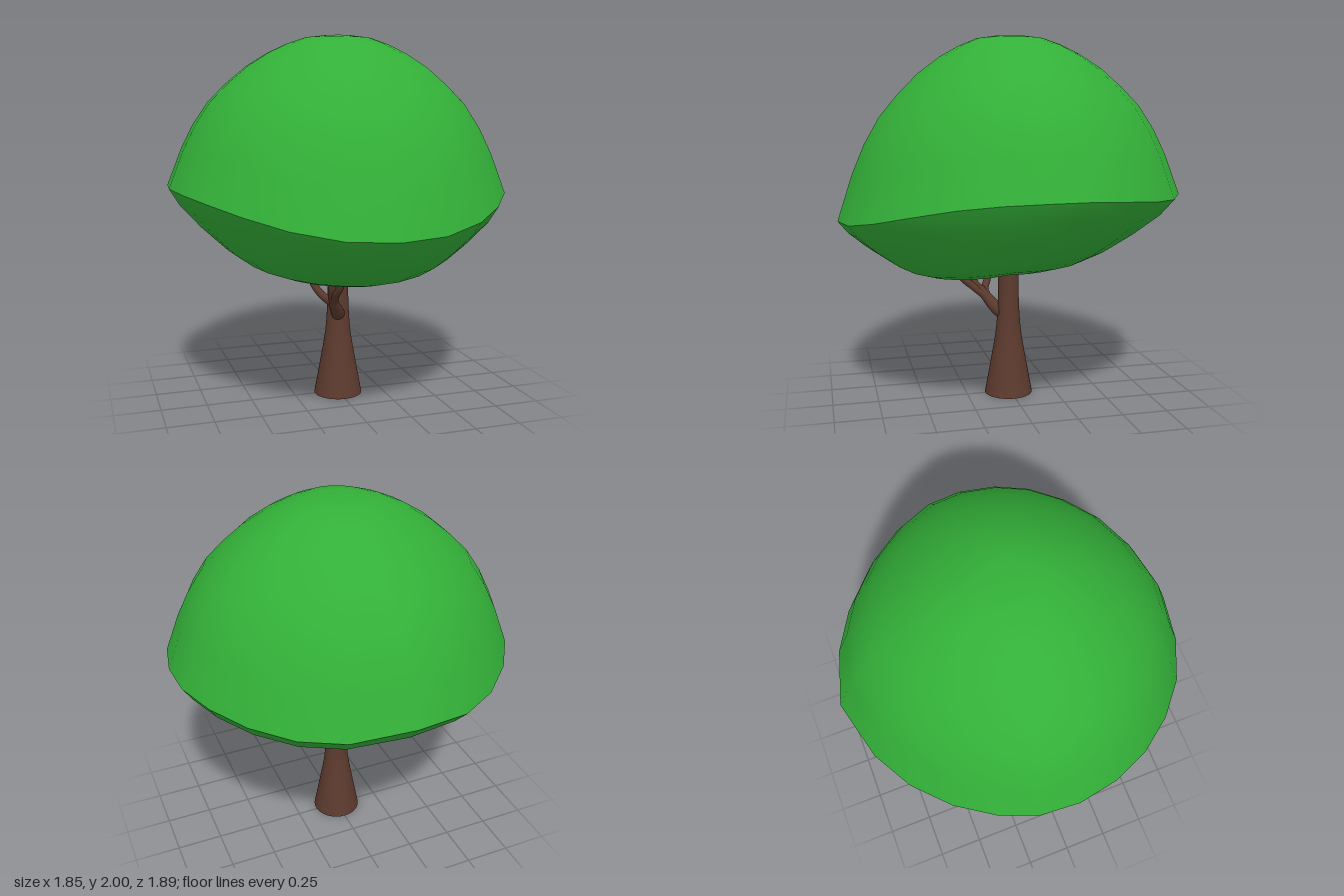
import * as THREE from 'three';

const leafMat = new THREE.MeshStandardMaterial({ color: 0x33b038 });
const barkMat = new THREE.MeshStandardMaterial({ color: 0x5c3a2e });

// Half of the canopy rim, back to front: [x, y, z]
const HALF_RIM = [
  [0, 1.2, -0.95], [0.31, 1.155, -0.87], [0.52, 1.15, -0.75], [0.7, 1.165, -0.58],
  [0.83, 1.185, -0.39], [0.91, 1.2, -0.19], [0.925, 1.2, 0.02], [0.885, 1.19, 0.24],
  [0.8, 1.165, 0.44], [0.66, 1.12, 0.63], [0.48, 1.07, 0.79], [0.25, 1.03, 0.9], [0, 1.02, 0.945],
];
// Profiles as [fraction inwards, fraction of the height change]
const DOME = [[0, 0], [0.085, 0.25], [0.155, 0.41], [0.243, 0.56], [0.347, 0.68], [0.465, 0.795],
  [0.59, 0.885], [0.7, 0.945], [0.8, 0.985], [0.9, 1], [1, 1]];
const UNDERSIDE = [[0, 0], [0.12, 0.22], [0.35, 0.5], [0.62, 0.78], [0.82, 0.93], [1, 1]];
const FLAT = [[0, 0], [0.5, 0.5], [1, 1]];

// Surface between two closed loops, following a profile
function loft(from, to, profile, flip) {
  const n = from.length, pos = [], index = [];
  for (const [s, h] of profile) {
    from.forEach((a, i) => {
      const b = to[i];
      pos.push(a[0] + (b[0] - a[0]) * s, a[1] + (b[1] - a[1]) * h, a[2] + (b[2] - a[2]) * s);
    });
  }
  for (let r = 0; r < profile.length - 1; r++) {
    for (let i = 0; i < n; i++) {
      const a = r * n + i, b = r * n + (i + 1) % n, c = a + n, d = b + n;
      if (flip) index.push(a, b, c, b, d, c);
      else index.push(a, c, b, b, c, d);
    }
  }
  const geo = new THREE.BufferGeometry();
  geo.setAttribute('position', new THREE.Float32BufferAttribute(pos, 3));
  geo.setIndex(index);
  geo.computeVertexNormals();
  return geo;
}

// Round limb along a smooth path, tapering from r0 to r1
function limb(points, r0, r1) {
  const curve = new THREE.CatmullRomCurve3(points.map((p) => new THREE.Vector3(...p)));
  const segs = 12, sides = 12;
  const geo = new THREE.TubeGeometry(curve, segs, 1, sides);
  const pos = geo.attributes.position, v = new THREE.Vector3();
  for (let i = 0; i < pos.count; i++) {
    const t = Math.floor(i / (sides + 1)) / segs;
    const c = curve.getPointAt(t);
    v.fromBufferAttribute(pos, i).sub(c).multiplyScalar(r0 + (r1 - r0) * t).add(c);
    pos.setXYZ(i, v.x, v.y, v.z);
  }
  return geo;
}

export function createModel() {
  const tree = new THREE.Group();
  tree.name = 'tree';
  const add = (parent, name, geo, mat) => {
    const mesh = new THREE.Mesh(geo, mat);
    mesh.name = name;
    parent.add(mesh);
    return mesh;
  };

  // Canopy: dome, sloping underside and shallow bottom
  const canopy = new THREE.Group();
  canopy.name = 'canopy';
  tree.add(canopy);
  const mirrored = HALF_RIM.slice(1, -1).reverse().map(([x, y, z]) => [-x, y, z]);
  const rim = [...HALF_RIM, ...mirrored];
  const bottomRing = rim.map(([x, , rz]) => {
    const z = 0.1 + rz * 0.42;
    const y = 0.785 - (z > 0.1 ? 0.163 : -0.038) * (z - 0.1);
    return [x * 0.5, y, z];
  });
  const all = (p) => rim.map(() => p);
  add(canopy, 'canopyDome', loft(rim, all([0, 2, 0]), DOME, false), leafMat);
  add(canopy, 'canopyUnderside', loft(rim, bottomRing, UNDERSIDE, true), leafMat);
  add(canopy, 'canopyBottom', loft(bottomRing, all([0, 0.77, 0.05]), FLAT, true), leafMat);

  // Trunk flaring to the base
  const flare = new THREE.SplineCurve([[0.135, 0], [0.102, 0.18], [0.073, 0.35], [0.061, 0.5],
    [0.058, 0.65], [0.057, 0.85]].map((p) => new THREE.Vector2(...p))).getPoints(20);
  add(tree, 'trunk', new THREE.LatheGeometry(flare, 32), barkMat).position.z = 0.01;
  const base = add(tree, 'trunkBase', new THREE.CircleGeometry(0.135, 32), barkMat);
  base.rotation.x = Math.PI / 2;
  base.position.z = 0.01;

  // Forked branch on the front of the trunk
  const branches = new THREE.Group();
  branches.name = 'branches';
  tree.add(branches);
  add(branches, 'mainBranch', limb([[0, 0.45, 0.02], [-0.025, 0.49, 0.075], [-0.06, 0.55, 0.125],
    [-0.078, 0.6, 0.16]], 0.042, 0.024), barkMat);
  const twigs = [
    [[-0.06, 0.55, 0.125], [-0.075, 0.61, 0.2], [-0.07, 0.66, 0.26], [-0.06, 0.73, 0.295], [-0.055, 0.8, 0.31]],
    [[-0.07, 0.57, 0.14], [-0.09, 0.63, 0.19], [-0.105, 0.7, 0.215], [-0.11, 0.81, 0.22]],
    [[-0.05, 0.54, 0.115], [-0.105, 0.58, 0.125], [-0.15, 0.63, 0.1], [-0.18, 0.7, 0.075], [-0.19, 0.82, 0.06]],
  ];
  for (const path of twigs) add(branches, 'twig', limb(path, 0.024, 0.014), barkMat);

  return tree;
}
